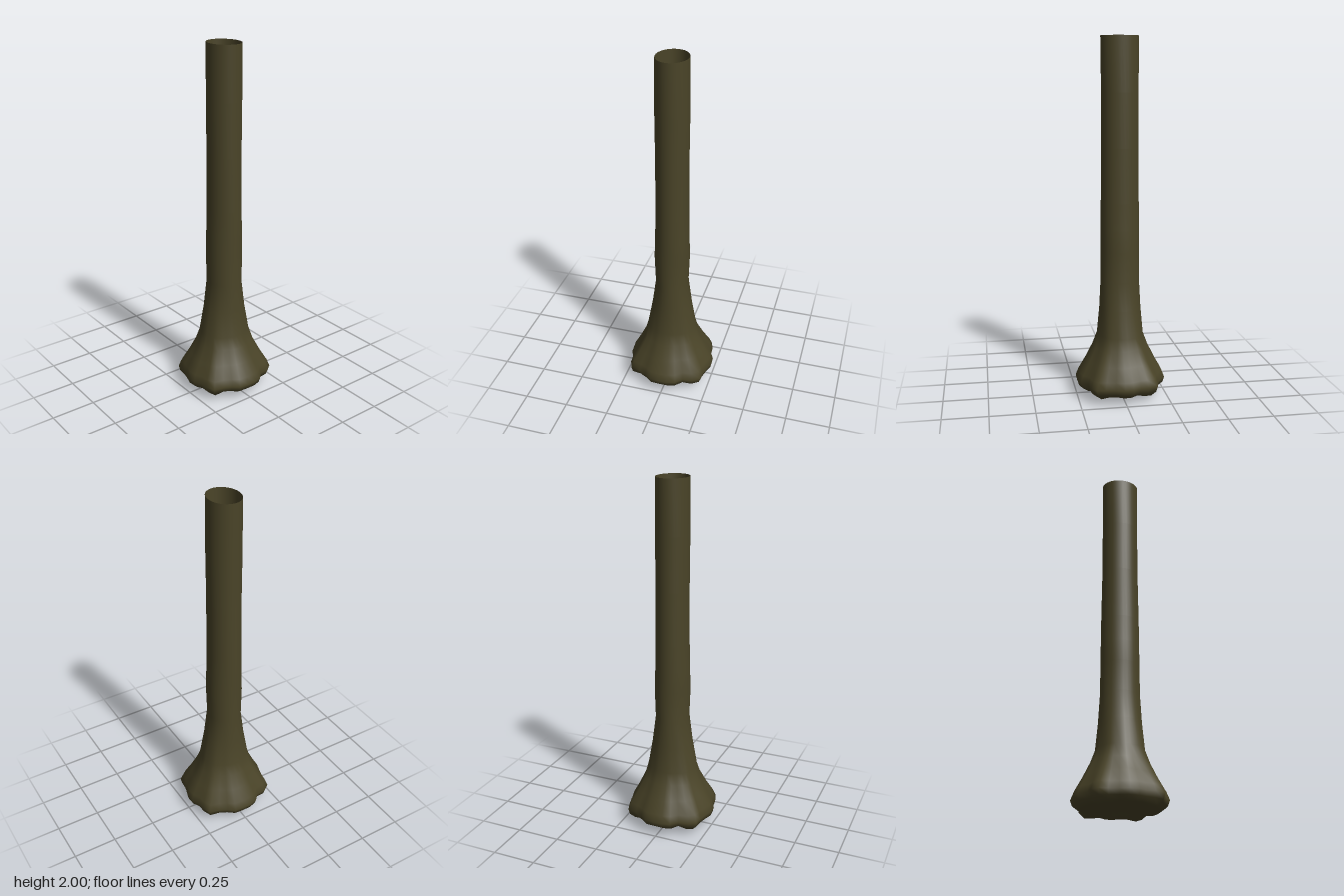
import * as THREE from 'three';

// Lobed outline of the foot as [x, z]; the other half is its half-turn copy
const halfOutline = [
  [0.25, 0.01], [0.234, 0.06], [0.221, 0.114], [0.216, 0.162], [0.177, 0.191], [0.121, 0.198],
  [0.084, 0.236], [0.036, 0.25], [-0.015, 0.25], [-0.066, 0.246], [-0.105, 0.216], [-0.148, 0.193],
  [-0.204, 0.18], [-0.223, 0.129], [-0.225, 0.082], [-0.246, 0.039],
];
const outline = [...halfOutline, ...halfOutline.map(([x, z]) => [-x, -z])];

// Cross-sections from rim to base: [y, x radius, z radius, lobe amount 0..1, waviness in y]
const sections = [
  [2, 0.088, 0.105, 0, 0],
  [1.7, 0.092, 0.102, 0, 0],
  [1.4, 0.09, 0.102, 0, 0],
  [1.1, 0.092, 0.106, 0, 0],
  [0.95, 0.095, 0.107, 0, 0],
  [0.83, 0.1, 0.107, 0, 0],
  [0.66, 0.093, 0.109, 0, 0],
  [0.5, 0.115, 0.117, 0.1, 0],
  [0.35, 0.143, 0.13, 0.3, 0],
  [0.28, 0.162, 0.156, 0.5, 0],
  [0.2, 0.2, 0.195, 0.7, 0],
  [0.13, 0.238, 0.234, 0.9, 0],
  [0.09, 0.25, 0.25, 1, 0],
  [0.06, 0.243, 0.24, 1, 0.1],
  [0.036, 0.215, 0.205, 1, 0.4],
  [0.03, 0.165, 0.155, 0.8, 0.4],
  [0.035, 0.1, 0.1, 0.3, 0],
  [0.022, 0.06, 0.06, 0, 0],
  [0.006, 0.03, 0.03, 0, 0],
];

function loftGeometry() {
  const n = outline.length, positions = [], index = [];
  for (const [y, rx, rz, lobes, wave] of sections) {
    for (const [ox, oz] of outline) {
      const r = Math.hypot(ox, oz);
      // blend from a plain ellipse to the lobed outline
      const k = THREE.MathUtils.lerp(1, r / 0.25, lobes) / r;
      positions.push(ox * k * rx, y - (r - 0.25) * wave, oz * k * rz);
    }
  }
  for (let s = 0; s < sections.length - 1; s++) {
    for (let i = 0; i < n; i++) {
      const j = (i + 1) % n, a = s * n + i, b = s * n + j;
      index.push(a, b, a + n, b, b + n, a + n);
    }
  }
  // close the underside on a central point; the rim stays open
  const centre = sections.length * n;
  positions.push(0, 0, 0);
  for (let i = 0; i < n; i++) index.push(centre - n + i, centre - n + (i + 1) % n, centre);

  const geometry = new THREE.BufferGeometry();
  geometry.setAttribute('position', new THREE.Float32BufferAttribute(positions, 3));
  geometry.setIndex(index);
  geometry.computeVertexNormals();
  return geometry;
}

export function createModel() {
  const model = new THREE.Group();
  model.name = 'hollowTrunk';

  // The inside of the hollow shows through the open rim
  const bark = new THREE.MeshStandardMaterial({ color: 0x4a4428, side: THREE.DoubleSide });
  bark.name = 'dark olive bark';

  const trunk = new THREE.Mesh(loftGeometry(), bark);
  trunk.name = 'trunkWithFlaredFoot';
  model.add(trunk);
  return model;
}
